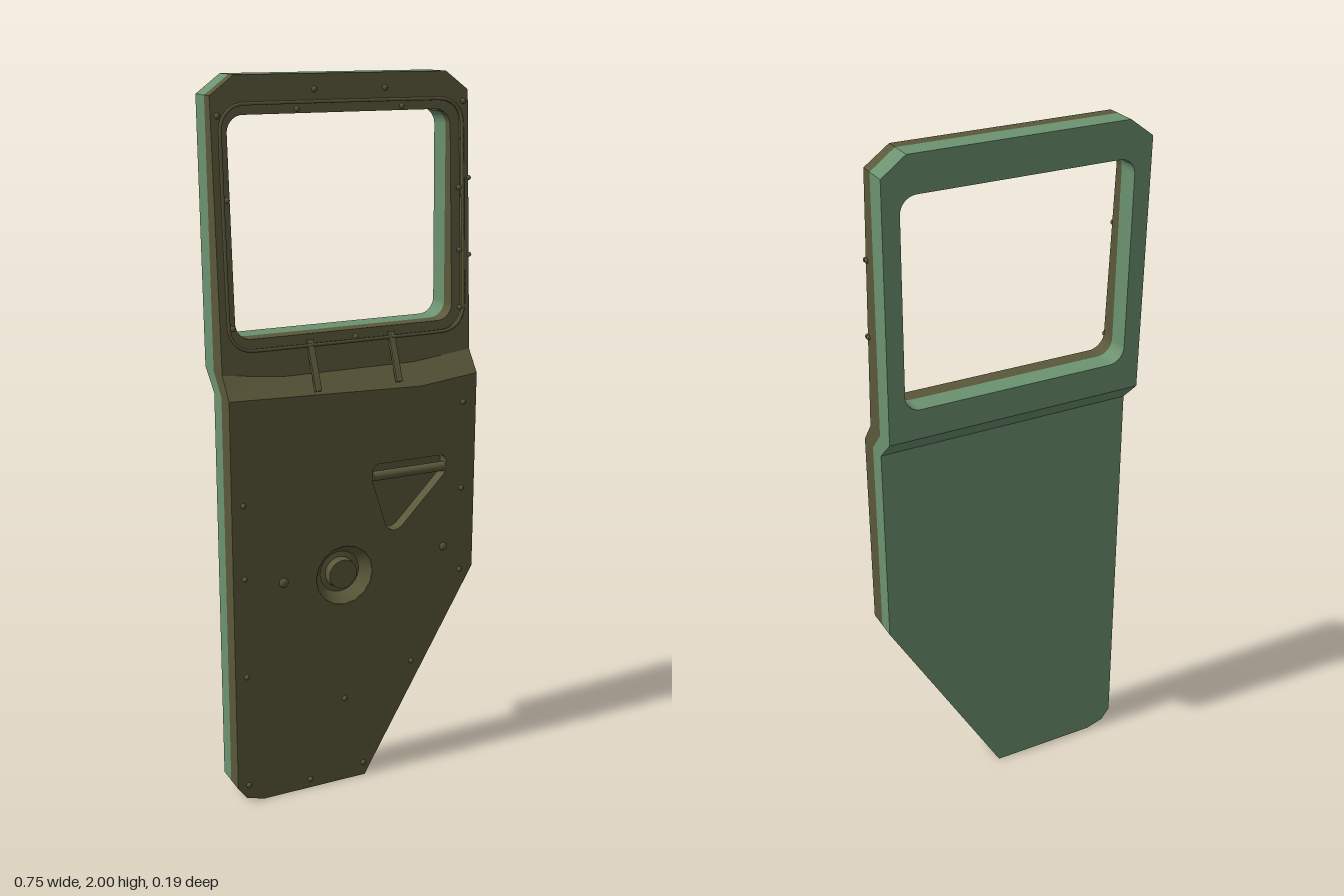
import * as THREE from 'three';
import { toCreasedNormals } from 'three/addons/utils/BufferGeometryUtils.js';

const lerp = (a, b, t) => a + (b - a) * t;

// depth of each skin: z on the lower body, just above the fold, and at the top
const FRONT = [0.09, 0.045, 0.0];
const MID = [0.035, -0.018, -0.035];
const BACK = [-0.018, -0.08, -0.098];
const upperZ = (s, y) => lerp(s[1], s[2], (y - 1.24) / 0.76);

// fold lines sag slightly toward the middle of the outer skin
const XL = -0.378, XR = 0.367;
const sagAt = (x, sag) => sag * Math.min(1, Math.min(x - XL, XR - x) / 0.18);
const foldLine = (y, sag) => [XL, -0.2, 0.19, XR].map(x => [x, y - sagAt(x, sag)]);

function polygon(points) {
  return new THREE.Shape(points.map(p => new THREE.Vector2(p[0], p[1])));
}

function roundedRect(x0, y0, x1, y1, r, C = THREE.Shape) {
  const s = new C();
  s.moveTo(x0 + r, y0);
  s.lineTo(x1 - r, y0);
  s.absarc(x1 - r, y0 + r, r, -Math.PI / 2, 0);
  s.lineTo(x1, y1 - r);
  s.absarc(x1 - r, y1 - r, r, 0, Math.PI / 2);
  s.lineTo(x0 + r, y1);
  s.absarc(x0 + r, y1 - r, r, Math.PI / 2, Math.PI);
  s.lineTo(x0, y0 + r);
  s.absarc(x0 + r, y0 + r, r, Math.PI, Math.PI * 1.5);
  return s;
}

// rounded triangular pocket outline
function pocketPath(C) {
  const s = new C();
  s.moveTo(0.085, 0.765);
  s.quadraticCurveTo(0.11, 0.735, 0.14, 0.765);
  s.lineTo(0.268, 0.895);
  s.quadraticCurveTo(0.285, 0.95, 0.255, 0.952);
  s.lineTo(0.06, 0.952);
  s.quadraticCurveTo(0.035, 0.95, 0.042, 0.9);
  s.closePath();
  return s;
}

export function createModel() {
  const root = new THREE.Group();
  const olive = new THREE.MeshStandardMaterial({ color: 0x5a583a });
  const green = new THREE.MeshStandardMaterial({ color: 0x6b9270 });

  function add(name, geo, mat, parent = root) {
    const m = new THREE.Mesh(geo, mat);
    m.name = name;
    parent.add(m);
    return m;
  }

  // extrude an outline, then place its two faces with zAt(x, y, isFront)
  function slab(name, shape, mat, zAt) {
    const geo = new THREE.ExtrudeGeometry(shape, { depth: 1, bevelEnabled: false, curveSegments: 8 });
    const p = geo.attributes.position;
    for (let i = 0; i < p.count; i++) p.setZ(i, zAt(p.getX(i), p.getY(i), p.getZ(i) > 0.5));
    return add(name, toCreasedNormals(geo, 0.5), mat);
  }

  // one full skin of the door: lower body, fold and window frame
  function skin(name, front, back, mat, sag, window, pockets) {
    const low = foldLine(1.18, sag), high = foldLine(1.24, sag);
    const body = polygon([[XL, 0.05], [-0.352, 0.016], [-0.3, 0], [0.02, 0], [XR, 0.6], ...low.slice().reverse()]);
    body.holes.push(...pockets);
    slab(name + 'LowerBody', body, mat, (x, y, f) => (f ? front : back)[0]);
    slab(name + 'Fold', polygon([...low, ...high.slice().reverse()]), mat, (x, y, f) => {
      const s = f ? front : back;
      const t = (y + sagAt(x, sag) - 1.18) / 0.06;
      return lerp(s[0], upperZ(s, y), t);
    });
    const frame = polygon([...high, [XR, 1.95], [0.3, 2], [-0.31, 2], [XL, 1.95]]);
    frame.holes.push(window);
    slab(name + 'WindowFrame', frame, mat, (x, y, f) => upperZ(f ? front : back, y));
  }

  const opening = () => roundedRect(-0.33, 1.325, 0.32, 1.9, 0.045, THREE.Path);
  const rebate = C => roundedRect(-0.354, 1.298, 0.348, 1.928, 0.065, C);
  const dish = new THREE.Path();
  dish.absarc(-0.045, 0.64, 0.087, 0, Math.PI * 2);
  skin('outer', FRONT, MID, olive, 0.02, rebate(THREE.Path), [dish, pocketPath(THREE.Path)]);
  skin('inner', MID, BACK, green, 0, opening(), []);

  // recessed lip around the window
  const lip = rebate(THREE.Shape);
  lip.holes.push(opening());
  slab('windowLip', lip, olive, (x, y, f) => f ? upperZ(FRONT, y) - 0.015 : upperZ(MID, y));

  // cord seal following the rebate
  const sealPoints = rebate(THREE.Shape).getPoints(6).map(p => new THREE.Vector3(p.x, p.y, upperZ(FRONT, p.y)));
  if (sealPoints[0].distanceTo(sealPoints[sealPoints.length - 1]) < 1e-4) sealPoints.pop();
  const sealCurve = new THREE.CatmullRomCurve3(sealPoints, true, 'centripetal');
  add('windowSeal', new THREE.TubeGeometry(sealCurve, 160, 0.005, 6, true), olive);

  // round lock dish with a raised centre
  const dishProfile = [[0, 0.082], [0.042, 0.082], [0.045, 0.058], [0.06, 0.056], [0.087, 0.089]]
    .map(p => new THREE.Vector2(p[0], p[1])).reverse();
  const dishGeo = toCreasedNormals(new THREE.LatheGeometry(dishProfile, 32), 0.5);
  const lock = add('lockDish', dishGeo, olive);
  lock.rotation.x = Math.PI / 2;
  lock.position.set(-0.045, 0.64, 0);

  // triangular handle pocket and its pull bar
  slab('handlePocketFloor', pocketPath(THREE.Shape), olive, (x, y, f) => f ? 0.055 : 0.05);
  const bar = add('handleBar', new THREE.CylinderGeometry(0.014, 0.014, 0.228, 12), olive);
  bar.rotation.z = Math.PI / 2;
  bar.position.set(0.158, 0.915, 0.079);

  // struts bridging the fold
  for (const x of [-0.122, 0.122]) {
    const a = new THREE.Vector3(x, 1.18, 0.088), b = new THREE.Vector3(x, 1.31, 0.034);
    const strut = add('foldStrut', new THREE.BoxGeometry(0.018, a.distanceTo(b), 0.01), olive);
    strut.position.copy(a).lerp(b, 0.5);
    strut.rotation.x = Math.atan2(b.z - a.z, b.y - a.y);
  }

  // domed rivets: x, y, radius
  const rivets = new THREE.Group();
  rivets.name = 'rivets';
  root.add(rivets);
  const rivetGeo = new THREE.SphereGeometry(1, 10, 6);
  const S = 0.008;
  const spots = [
    [-0.345, 0.89, S], [-0.345, 0.68, S], [-0.345, 0.39, S], [-0.345, 0.055, S], [-0.155, 0.027, S],
    [0.015, 0.04, S], [0.17, 0.335, S], [0.325, 0.595, S], [0.325, 0.845, S], [0.325, 1.1, S],
    [-0.045, 0.26, S], [-0.23, 0.65, 0.014], [0.27, 0.675, 0.012],
    [-0.09, 1.96, S], [0.115, 1.96, S], [-0.14, 1.912, S], [0.165, 1.912, S], [0.012, 1.308, S],
    [-0.343, 1.69, S], [-0.343, 1.36, S], [0.337, 1.69, S], [0.337, 1.52, S], [0.337, 1.36, S],
    [-0.36, 1.9, S], [0.352, 1.92, S],
  ];
  for (const [x, y, r] of spots) {
    const rivet = add('rivet', rivetGeo, olive, rivets);
    rivet.scale.set(r, r, 0.007);
    rivet.position.set(x, y, y < 1.2 ? FRONT[0] : upperZ(FRONT, y));
  }

  // small stop knobs on the window's left edge
  for (const y of [1.505, 1.715]) {
    for (const dz of [0, -0.009]) {
      const knob = add('edgeKnob', rivetGeo, olive);
      knob.scale.set(0.007, 0.007, 0.006);
      knob.position.set(0.368, y, upperZ(FRONT, y) + dz);
    }
  }
  return root;
}
